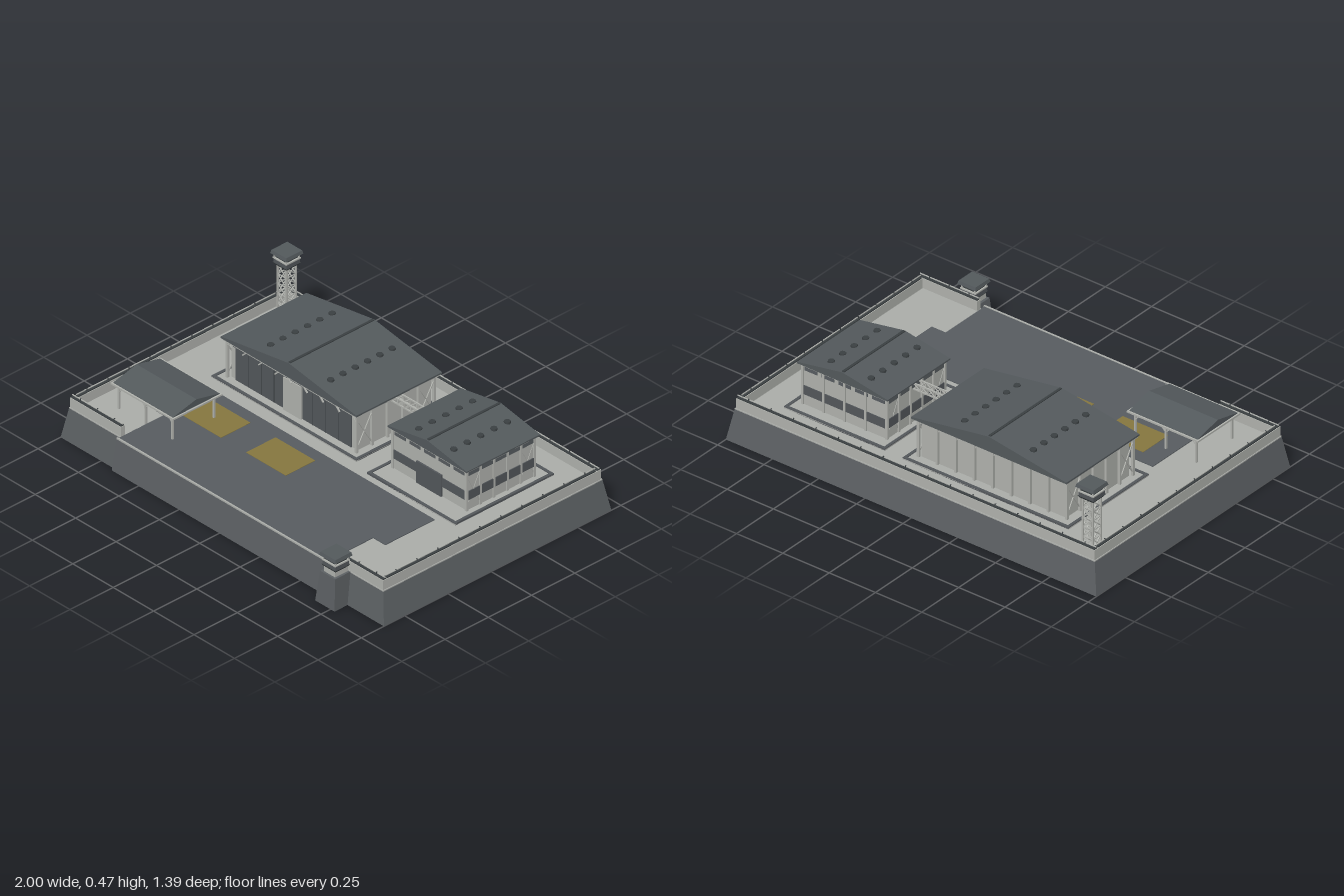
import * as THREE from 'three';

const mat = (name, color) => Object.assign(new THREE.MeshStandardMaterial({ color }), { name });
const M = {
  base: mat('plinth grey', 0x5c6063),
  ground: mat('pale concrete', 0xabada9),
  asphalt: mat('asphalt', 0x575c60),
  wall: mat('pale wall', 0xb0b2ad),
  roof: mat('roof slate', 0x53595c),
  door: mat('door grey', 0x53575b),
  dark: mat('dark trim', 0x3b4042),
  ochre: mat('ochre paint', 0x85763f),
};

function add(parent, name, geo, material) {
  const m = new THREE.Mesh(geo, material);
  m.name = name;
  parent.add(m);
  return m;
}

function group(parent, name) {
  const g = new THREE.Group();
  g.name = name;
  parent.add(g);
  return g;
}

// box given by its limits
function box(p, name, m, x0, x1, y0, y1, z0, z1) {
  const g = new THREE.BoxGeometry(x1 - x0, y1 - y0, z1 - z0);
  g.translate((x0 + x1) / 2, (y0 + y1) / 2, (z0 + z1) / 2);
  return add(p, name, g, m);
}

// tapered block: bottom and top rectangles [x0, x1, z0, z1]
function taper(p, name, m, b, t, y0, y1) {
  const g = new THREE.BoxGeometry(1, 1, 1);
  const a = g.attributes.position;
  for (let i = 0; i < a.count; i++) {
    const up = a.getY(i) > 0, r = up ? t : b;
    a.setXYZ(i, a.getX(i) > 0 ? r[1] : r[0], up ? y1 : y0, a.getZ(i) > 0 ? r[3] : r[2]);
  }
  g.computeVertexNormals();
  return add(p, name, g, m);
}

// square bar between two points
function bar(p, name, m, a, b, t = 0.006) {
  const A = new THREE.Vector3(...a), B = new THREE.Vector3(...b);
  const o = add(p, name, new THREE.BoxGeometry(t, t, A.distanceTo(B)), m);
  o.position.copy(A).add(B).multiplyScalar(0.5);
  o.lookAt(B);
  return o;
}

// rectangular ring of four boxes
function ring(p, name, m, x0, x1, y0, y1, z0, z1, t) {
  box(p, name, m, x0, x1, y0, y1, z0, z0 + t);
  box(p, name, m, x0, x1, y0, y1, z1 - t, z1);
  box(p, name, m, x0, x0 + t, y0, y1, z0 + t, z1 - t);
  box(p, name, m, x1 - t, x1, y0, y1, z0 + t, z1 - t);
}

// gable prism with its ridge along z
function gable(p, name, x0, x1, y0, eave, ridge, z0, z1) {
  const s = new THREE.Shape();
  s.moveTo(x0, y0);
  s.lineTo(x1, y0);
  s.lineTo(x1, eave);
  s.lineTo((x0 + x1) / 2, ridge);
  s.lineTo(x0, eave);
  const g = new THREE.ExtrudeGeometry(s, { depth: z1 - z0, bevelEnabled: false });
  g.translate(0, 0, z0);
  return add(p, name, g, M.roof);
}

const G = 0.155; // ground level

function roofVents(p, xs, zs, cx, half, eave, ridge) {
  for (const x of xs) for (const z of zs) {
    const y = ridge - (ridge - eave) * Math.abs(x - cx) / half;
    add(p, 'roofVent', new THREE.CylinderGeometry(0.015, 0.017, 0.014, 8), M.dark).position.set(x, y, z);
  }
}

const steps = (a, b, n) => Array.from({ length: n }, (_, i) => a + (b - a) * i / (n - 1));

// posts round a rectangular hall
function hallFrame(p, x0, x1, z0, z1, top, nx, nz) {
  for (const z of [z0, z1]) for (const x of steps(x0, x1, nx)) {
    if (z === z1 && x !== x0 && x !== x1) continue;
    box(p, 'wallPost', M.wall, x - 0.006, x + 0.006, G, top, z - 0.006, z + 0.006);
  }
  for (const x of [x0, x1]) {
    const zs = steps(z0, z1, nz);
    zs.forEach(z => box(p, 'wallPost', M.wall, x - 0.006, x + 0.006, G, top, z - 0.006, z + 0.006));
    // cross braces in the end bays
    for (const [a, b] of [[zs[0], zs[1]], [zs[nz - 2], zs[nz - 1]]]) {
      bar(p, 'crossBrace', M.wall, [x, G + 0.02, a], [x, top - 0.03, b], 0.005);
      bar(p, 'crossBrace', M.wall, [x, G + 0.02, b], [x, top - 0.03, a], 0.005);
    }
  }
}

function pad(p, x0, x1, z0, z1) {
  box(p, 'pad', M.ground, x0, x1, G, 0.161, z0, z1);
  ring(p, 'padEdge', M.door, x0, x1, G, 0.165, z0, z1, 0.014);
}

function bigHangar(root) {
  const p = group(root, 'bigHangar');
  pad(p, -0.73, 0.165, -0.545, 0);
  box(p, 'hangarWalls', M.wall, -0.67, 0.11, G, 0.358, -0.485, -0.06);
  hallFrame(p, -0.68, 0.12, -0.492, -0.045, 0.358, 9, 6);
  box(p, 'leftDoor', M.door, -0.225, 0.075, G, 0.335, -0.062, -0.054);
  box(p, 'rightDoor', M.door, -0.64, -0.335, G, 0.335, -0.062, -0.054);
  box(p, 'centrePier', M.wall, -0.335, -0.225, G, 0.325, -0.065, -0.045);
  box(p, 'doorHeader', M.door, -0.65, 0.09, 0.325, 0.347, -0.06, -0.05);
  for (const x of steps(-0.56, 0.0, 8)) box(p, 'doorSeam', M.dark, x - 0.0015, x + 0.0015, G, 0.335, -0.055, -0.0525);
  ring(p, 'eaveBeam', M.wall, -0.695, 0.135, 0.347, 0.357, -0.508, -0.03, 0.012);
  // eave brackets
  for (const z of [-0.492, -0.04]) for (const x of steps(-0.68, 0.12, 9))
    bar(p, 'eaveBracket', M.wall, [x, 0.32, z], [x + (x < -0.28 ? 0.03 : -0.03), 0.35, z]);
  gable(p, 'hangarRoof', -0.7, 0.14, 0.356, 0.364, 0.43, -0.52, -0.025);
  box(p, 'ridgeCap', M.dark, -0.286, -0.274, 0.425, 0.433, -0.515, -0.03);
  roofVents(p, [-0.465, -0.095], steps(-0.45, -0.095, 6), -0.28, 0.42, 0.364, 0.43);
}

function smallHall(root) {
  const p = group(root, 'smallHall');
  const x0 = 0.31, x1 = 0.765, z0 = -0.468, z1 = -0.078;
  pad(p, 0.265, 0.81, -0.515 - 0.025, 0.03);
  box(p, 'hallWalls', M.wall, x0, x1, G, 0.365, z0, z1);
  ring(p, 'darkBand', M.door, x0 - 0.004, x1 + 0.004, 0.212, 0.256, z0 - 0.004, z1 + 0.004, 0.008);
  box(p, 'hallDoor', M.door, 0.46, 0.615, G, 0.27, z1, z1 + 0.008);
  hallFrame(p, x0, x1, z0, z1, 0.365, 5, 6);
  // high windows
  const xs = steps(x0, x1, 6), zs = steps(z0, z1, 6);
  for (let i = 0; i < 5; i++) {
    for (const z of [z0, z1]) box(p, 'window', M.asphalt, xs[i] + 0.012, xs[i + 1] - 0.012, 0.332, 0.357, z - 0.003, z + 0.003);
    for (const x of [x0, x1]) box(p, 'window', M.asphalt, x - 0.003, x + 0.003, 0.332, 0.357, zs[i] + 0.008, zs[i + 1] - 0.008);
  }
  ring(p, 'eaveBeam', M.wall, 0.3, 0.775, 0.357, 0.365, -0.48, -0.067, 0.01);
  gable(p, 'hallRoof', 0.292, 0.782, 0.364, 0.371, 0.414, -0.487, -0.062);
  box(p, 'ridgeCap', M.dark, 0.531, 0.543, 0.409, 0.417, -0.482, -0.067);
  roofVents(p, [0.43, 0.645], steps(-0.425, -0.115, 5), 0.537, 0.245, 0.371, 0.414);
}

// lattice bridge between the halls
function pipeBridge(root) {
  const p = group(root, 'latticeBridge');
  const xs = steps(0.11, 0.31, 6);
  for (const z of [-0.29, -0.255]) {
    for (const y of [0.325, 0.353]) bar(p, 'chord', M.wall, [0.11, y, z], [0.31, y, z]);
    xs.forEach((x, i) => {
      bar(p, 'strut', M.wall, [x, 0.325, z], [x, 0.353, z], 0.004);
      if (i) bar(p, 'diagonal', M.wall, [xs[i - 1], 0.325, z], [x, 0.353, z], 0.004);
    });
  }
  for (const x of xs) for (const y of [0.325, 0.353]) bar(p, 'crossTie', M.wall, [x, y, -0.29], [x, y, -0.255], 0.004);
}

function canopy(root) {
  const p = group(root, 'canopy');
  // built with the ridge along z, then turned along x
  const r = gable(p, 'canopyRoof', -0.135, 0.135, 0.28, 0.284, 0.315, -0.185, 0.185);
  r.rotation.y = Math.PI / 2;
  r.position.set(-0.655, 0, 0.33);
  ring(p, 'canopyBeam', M.wall, -0.848, -0.462, 0.274, 0.282, 0.187, 0.473, 0.014);
  for (const x of [-0.82, -0.655, -0.49]) for (const z of [0.21, 0.45]) {
    bar(p, 'canopyPost', M.wall, [x, G, z], [x, 0.276, z], 0.009);
    for (const s of [-1, 1]) {
      const xb = x + s * 0.035;
      if (xb > -0.84 && xb < -0.47) bar(p, 'canopyBrace', M.wall, [x, 0.24, z], [xb, 0.276, z], 0.005);
    }
  }
}

// guard cabin centred on cx, cz with its floor at y
function cabin(p, cx, cz, y) {
  const sq = h => [cx - h, cx + h, cz - h, cz + h];
  taper(p, 'cabinFloor', M.dark, sq(0.036), sq(0.043), y, y + 0.01);
  taper(p, 'cabinWall', M.door, sq(0.04), sq(0.04), y + 0.01, y + 0.032);
  taper(p, 'cabinSill', M.wall, sq(0.042), sq(0.042), y + 0.03, y + 0.036);
  taper(p, 'cabinWindows', M.dark, sq(0.034), sq(0.034), y + 0.036, y + 0.056);
  for (const a of [-1, 1]) for (const b of [-1, 1])
    bar(p, 'cabinPost', M.wall, [cx + a * 0.036, y + 0.03, cz + b * 0.036], [cx + a * 0.036, y + 0.056, cz + b * 0.036]);
  taper(p, 'cabinRoof', M.roof, sq(0.05), sq(0.046), y + 0.055, y + 0.071);
}

function latticeTower(root) {
  const p = group(root, 'latticeTower');
  const cx = -0.883, cz = -0.578, h = 0.027, top = 0.395;
  const c = [[-h, -h], [h, -h], [h, h], [-h, h]].map(([x, z]) => [cx + x, cz + z]);
  const ys = steps(G, top, 6);
  c.forEach(([x, z], i) => {
    const [u, w] = c[(i + 1) % 4];
    bar(p, 'towerLeg', M.wall, [x, G, z], [x, top, z], 0.008);
    for (let k = 0; k < 5; k++) {
      bar(p, 'towerBrace', M.wall, [x, ys[k], z], [u, ys[k + 1], w], 0.004);
      bar(p, 'towerBrace', M.wall, [u, ys[k], w], [x, ys[k + 1], z], 0.004);
      bar(p, 'towerRung', M.wall, [x, ys[k + 1], z], [u, ys[k + 1], w], 0.004);
    }
  });
  cabin(p, cx, cz, top);
}

function gateTower(root) {
  const p = group(root, 'gateTower');
  taper(p, 'gatePier', M.base, [0.655, 0.775, 0.56, 0.695], [0.675, 0.768, 0.57, 0.685], 0, G);
  taper(p, 'gatePierTop', M.wall, [0.687, 0.757, 0.6, 0.675], [0.687, 0.757, 0.6, 0.675], G, 0.182);
  cabin(p, 0.722, 0.638, 0.18);
}

function site(root) {
  const p = group(root, 'site');
  taper(p, 'plinth', M.base, [-1, 1, -0.695, 0.62], [-0.972, 0.972, -0.67, 0.597], 0, 0.15);
  taper(p, 'groundSlab', M.ground, [-0.972, 0.972, -0.67, 0.597], [-0.972, 0.972, -0.67, 0.597], 0.15, G);
  taper(p, 'gateApron', M.base, [-0.665, 0.66, 0.5, 0.637], [-0.655, 0.65, 0.5, 0.617], 0, G);
  box(p, 'apronEdge', M.ground, -0.655, 0.65, G, 0.162, 0.612, 0.62);

  // asphalt yard
  const s = new THREE.Shape([[-0.7, 0.065], [0.72, 0.065], [0.72, 0.35], [0.645, 0.35], [0.645, 0.613],
    [-0.65, 0.613], [-0.65, 0.35], [-0.7, 0.35]].map(([x, z]) => new THREE.Vector2(x, -z)));
  const g = new THREE.ExtrudeGeometry(s, { depth: 0.004, bevelEnabled: false });
  g.rotateX(-Math.PI / 2).translate(0, G, 0);
  add(p, 'yard', g, M.asphalt);
  for (const x of [-0.6, -0.2]) box(p, 'yardMarking', M.ochre, x, x + 0.245, G, 0.161, 0.125, 0.295);

  // perimeter wall, open at the gate: [x0, x1, z0, z1]
  const runs = [
    [-0.968, 0.968, -0.666, -0.642], [-0.968, -0.944, -0.642, 0.57], [0.944, 0.968, -0.642, 0.57],
    [-0.968, -0.655, 0.57, 0.594], [0.65, 0.968, 0.57, 0.594],
  ];
  for (const [a, b, c, d] of runs) {
    box(p, 'perimeterWall', M.wall, a, b, G, 0.203, c, d);
    box(p, 'wallCoping', M.dark, a + 0.003, b - 0.003, 0.203, 0.208, c + 0.003, d - 0.003);
    // rail on short posts
    const alongX = b - a > d - c, x = (a + b) / 2, z = (c + d) / 2;
    const A = alongX ? [a, 0.214, z] : [x, 0.214, c], B = alongX ? [b, 0.214, z] : [x, 0.214, d];
    bar(p, 'wallRail', M.wall, A, B, 0.004);
    const n = Math.max(3, Math.round((b - a + d - c) / 0.12));
    for (let i = 0; i < n; i++) {
      const t = (i + 0.5) / n, px = A[0] + (B[0] - A[0]) * t, pz = A[2] + (B[2] - A[2]) * t;
      bar(p, 'railPost', M.dark, [px, 0.205, pz], [px, 0.218, pz], 0.005);
    }
  }
}

export function createModel() {
  const root = new THREE.Group();
  root.name = 'walledCompound';
  [site, bigHangar, smallHall, pipeBridge, canopy, latticeTower, gateTower].forEach(f => f(root));
  return root;
}
